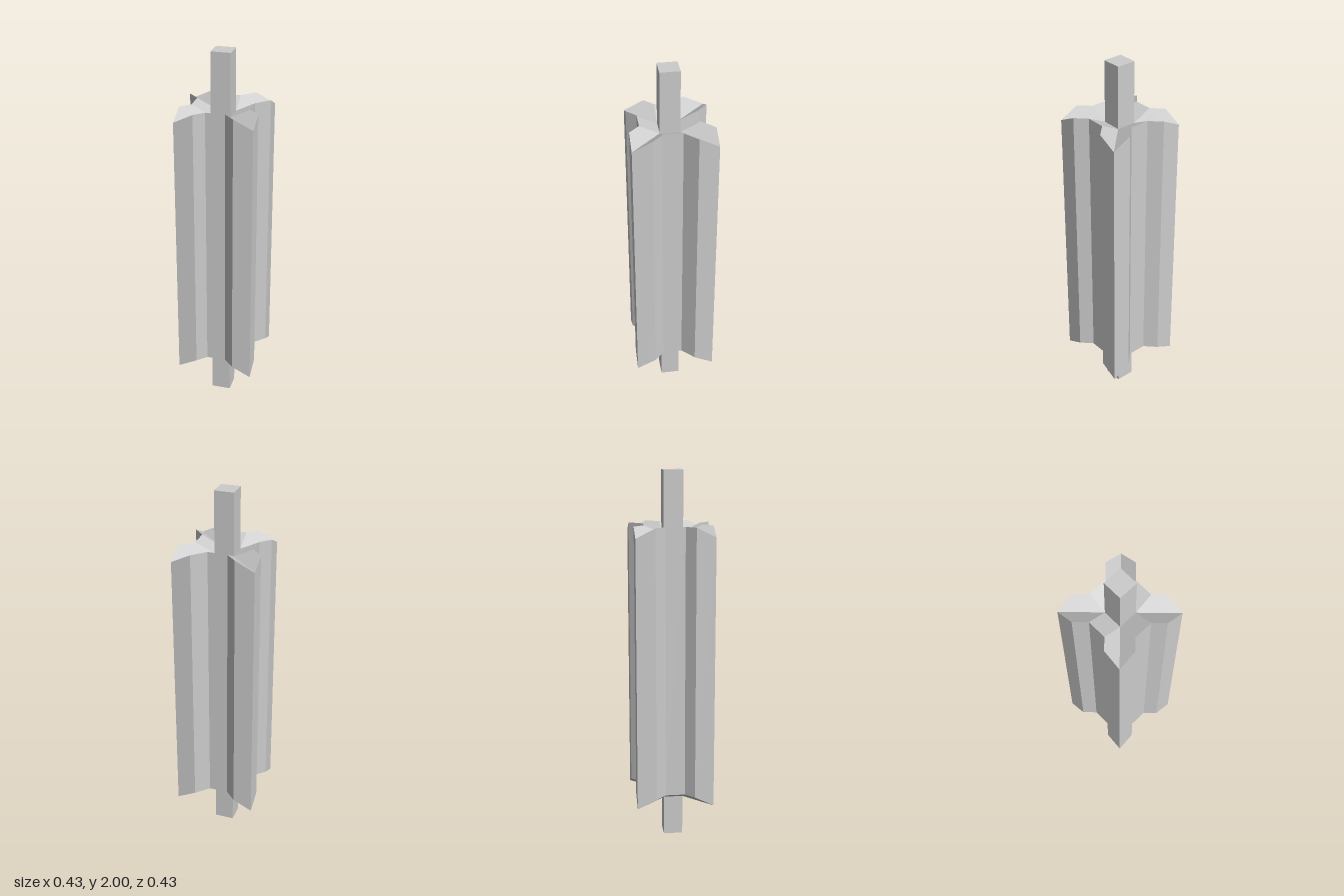
import * as THREE from 'three';

const LENGTH = 1.45;            // height of the fluted body
const HIGH = 1.72, LOW = 1.67;  // rim and valley heights of its top
const CX = -0.0055, CZ = 0.0045; // axis offset
const ROD = 0.0515, CORE = 0.153; // half widths

// Fins counterclockwise from the front left: x sign, z sign, reach past the core
const FINS = [[1, 1, 0.055], [1, -1, 0.066], [-1, -1, 0.057], [-1, 1, 0.049]];

function finPoints([sx, sz, reach]) {
  const at = (x, y, z) => [CX + sx * x, y, CZ + sz * z];
  const a = at(ROD, HIGH, CORE), b = at(CORE, HIGH, ROD);
  const aEnd = at(ROD + reach, HIGH, CORE + reach);
  const bEnd = at(CORE + reach, HIGH, ROD + reach);
  const swap = sx * sz < 0;
  return {
    root: at(ROD, LOW, ROD),
    corner: at(CORE, LOW, CORE),
    tip: at(CORE + reach, LOW, CORE + reach),
    prev: swap ? b : a, prevEnd: swap ? bEnd : aEnd,
    next: swap ? a : b, nextEnd: swap ? aEnd : bEnd,
  };
}

function bodyGeometry() {
  const positions = [];
  const quad = (a, b, c, d) => positions.push(...a, ...b, ...c, ...a, ...c, ...d);
  const down = ([x, y, z]) => [x, y - LENGTH, z];

  // A cap face on top, and the same face turned over underneath
  const cap = (a, b, c, d) => {
    quad(a, b, c, d);
    quad(down(a), down(d), down(c), down(b));
  };
  const wall = (u, v) => quad(down(u), down(v), v, u);

  const fins = FINS.map(finPoints);
  fins.forEach((f, i) => {
    const g = fins[(i + 1) % fins.length];
    // valley-shaped fin and the core corner behind it
    cap(f.prev, f.prevEnd, f.tip, f.corner);
    cap(f.corner, f.tip, f.nextEnd, f.next);
    cap(f.root, f.prev, f.corner, f.next);
    // sloping panel between this fin and the next
    cap(f.next, g.prev, g.root, f.root);
    // upright walls around the outline
    const outline = [f.prev, f.prevEnd, f.tip, f.nextEnd, f.next, g.prev];
    for (let k = 0; k < outline.length - 1; k++) wall(outline[k], outline[k + 1]);
  });

  const geometry = new THREE.BufferGeometry();
  geometry.setAttribute('position', new THREE.Float32BufferAttribute(positions, 3));
  geometry.computeVertexNormals();
  return geometry;
}

export function createModel() {
  const group = new THREE.Group();
  const material = new THREE.MeshStandardMaterial({ color: 0xcccccc, flatShading: true });

  // Four-finned body
  const body = new THREE.Mesh(bodyGeometry(), material);
  body.name = 'finnedBody';
  group.add(body);

  // Square rod through the middle
  const rod = new THREE.Mesh(new THREE.BoxGeometry(ROD * 2, 2, ROD * 2), material);
  rod.position.set(CX, 1, CZ);
  rod.name = 'centralRod';
  group.add(rod);

  return group;
}
